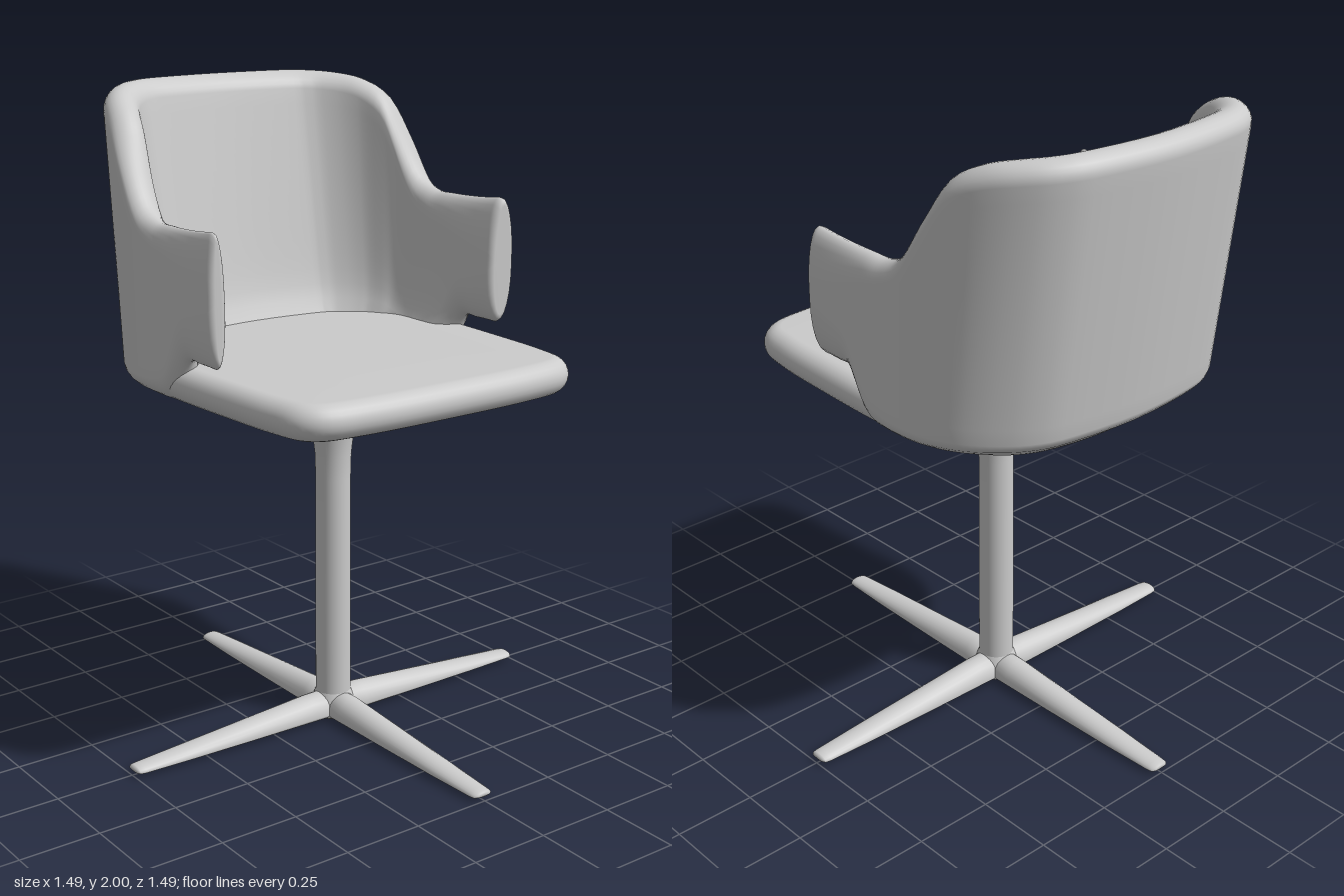
import * as THREE from 'three';

const material = new THREE.MeshStandardMaterial({ color: 0xcccccc, roughness: 0.7 });

function part(name, geometry) {
  const mesh = new THREE.Mesh(geometry, material);
  mesh.name = name;
  return mesh;
}

// Skin a list of closed rings (equal point counts) and cap both ends.
function loft(rings) {
  const n = rings[0].length, all = rings.flat(), index = [];
  for (let i = 0; i < rings.length - 1; i++) {
    for (let j = 0; j < n; j++) {
      const a = i * n + j, b = i * n + (j + 1) % n;
      index.push(a, b, a + n, b, b + n, a + n);
    }
  }
  [0, rings.length - 1].forEach((r, end) => {
    const centre = new THREE.Vector3();
    rings[r].forEach(p => centre.addScaledVector(p, 1 / n));
    const c = all.push(centre) - 1;
    for (let j = 0; j < n; j++) {
      const a = r * n + j, b = r * n + (j + 1) % n;
      if (end) index.push(a, b, c); else index.push(b, a, c);
    }
  });
  // Signed volume tells whether the faces point outward.
  let volume = 0;
  const cross = new THREE.Vector3();
  for (let i = 0; i < index.length; i += 3) {
    volume += cross.crossVectors(all[index[i]], all[index[i + 1]]).dot(all[index[i + 2]]);
  }
  if (volume < 0) index.reverse();
  const geometry = new THREE.BufferGeometry().setFromPoints(all);
  geometry.setIndex(index);
  geometry.computeVertexNormals();
  return geometry;
}

// Seat pad: an outline swept through a half-round edge.
function seatGeometry() {
  const half = [[0.3, 0.588], [0.44, 0.565], [0.5, 0.51], [0.525, 0.4], [0.54, 0.2], [0.55, -0.1],
    [0.535, -0.31], [0.45, -0.45], [0.35, -0.53], [0.2, -0.57]];
  const loop = [[0, 0.595], ...half, [0, -0.58], ...half.map(([x, z]) => [-x, z]).reverse()];
  const curve = new THREE.CatmullRomCurve3(loop.map(([x, z]) => new THREE.Vector3(x, 0, z)), true);
  const N = 96, ring = (inset, y, scale = 1) => Array.from({ length: N }, (_, i) => {
    const p = curve.getPoint(i / N), t = curve.getTangent(i / N);
    return new THREE.Vector3((p.x - t.z * -inset * -1) * scale, y, (p.z + t.x * inset * 1) * scale);
  });
  // The outline runs front to back on +x, so (t.z, -t.x) is inward or outward by sign.
  const probe = ring(0.05, 0)[0].z < 0.595 ? 1 : -1;
  const rings = [ring(0, 1.115, 0.3), ring(0, 1.115, 0.7)];
  for (let i = 0; i <= 12; i++) {
    const a = -Math.PI / 2 + Math.PI * i / 12;
    rings.push(ring(probe * 0.055 * (1 - Math.cos(a)), 1.169 + 0.054 * Math.sin(a)));
  }
  rings.push(ring(0, 1.225, 0.7), ring(0, 1.226, 0.3));
  return loft(rings);
}

// Wraparound back and arms: an upright rounded section carried along a U path.
function shellGeometry() {
  // outer x, outer z, bottom y | top y, thickness, length of the rounded ends
  const side = [
    [0.565, 0.19, 1.26, 1.655, 0.06, 0.17],
    [0.565, 0.10, 1.26, 1.645, 0.065, 0.14],
    [0.565, 0.02, 1.25, 1.64, 0.07, 0.11],
    [0.565, -0.06, 1.13, 1.638, 0.08, 0.08],
    [0.565, -0.14, 1.115, 1.64, 0.09, 0.06],
    [0.563, -0.21, 1.115, 1.68, 0.10, 0.055],
    [0.555, -0.28, 1.115, 1.81, 0.11, 0.055],
    [0.535, -0.34, 1.115, 1.925, 0.12, 0.055],
    [0.50, -0.41, 1.115, 1.972, 0.13, 0.055],
    [0.44, -0.48, 1.115, 1.99, 0.138, 0.055],
    [0.36, -0.54, 1.115, 1.997, 0.143, 0.055],
    [0.25, -0.577, 1.115, 2, 0.145, 0.055]];
  const rows = [
    ...side.map(r => r.map((v, i) => i === 4 ? Math.max(v, 0.1) : v)),
    [0, -0.6, 1.115, 2, 0.145, 0.055],
    ...side.map(r => [-r[0], ...r.slice(1)]).reverse()];
  const spline = k => new THREE.CatmullRomCurve3(
    rows.map(r => new THREE.Vector3(r[k], r[k + 1], r[k + 2])), false, 'catmullrom', 0.5);
  const path = spline(0), size = spline(3), rings = [], N = 130;
  for (let i = 0; i <= N; i++) {
    const u = 0.5 - 0.5 * Math.cos(Math.PI * i / N);
    const p = path.getPoint(u), s = size.getPoint(u), t = path.getTangent(u);
    const len = Math.hypot(t.x, t.y), nx = t.y / len, nz = -t.x / len;
    // Round over the front ends of the arms.
    const r = 0.026, k = Math.max(0, r - Math.max(0, 0.19 - p.y));
    const inset = r - Math.sqrt(r * r - k * k);
    const y0 = Math.max(1.115, p.z) + inset, y1 = Math.min(2, s.x) - inset;
    const e = Math.min(s.z, (y1 - y0) * 0.48), h = s.y / 2 - inset * 0.8;
    const lean = 0.105 * THREE.MathUtils.smoothstep(-p.y, 0.1, 0.55);
    const joined = THREE.MathUtils.clamp((1.26 - p.z) / 0.145, 0, 1);
    const section = [];
    for (let j = 0; j < 16; j++) section.push([-h, THREE.MathUtils.lerp(y0 + e, y1 - e, j / 16)]);
    for (let j = 0; j < 12; j++) {
      const a = Math.PI * j / 12;
      section.push([-h * Math.cos(a), y1 - e + e * Math.sin(a)]);
    }
    for (let j = 0; j < 16; j++) section.push([h, THREE.MathUtils.lerp(y1 - e, y0 + e, j / 16)]);
    for (let j = 0; j < 12; j++) {
      const a = Math.PI * j / 12;
      section.push([h * Math.cos(a), y0 + e - e * Math.sin(a)]);
    }
    rings.push(section.map(([d, y]) => {
      // Thicker toward the seat, with a soft fillet where the inside meets it.
      const taper = 1.15 - 0.35 * (y - 1.2) / 0.8;
      const fillet = 0.035 * joined * Math.exp(-Math.max(0, y - 1.2) / 0.05);
      const depth = s.y / 2 + d;
      const offset = depth * taper + fillet * depth / s.y;
      return new THREE.Vector3(p.x + nx * offset, y, p.y + nz * offset - lean * (y - 1.17) / 0.8);
    }));
  }
  return loft(rings);
}

// One tapering foot along +x with a domed top and flat underside.
function legGeometry() {
  const stations = [[0, 0.055, 0, 0.086], [0.1, 0.054, 0.001, 0.083], [0.3, 0.05, 0.003, 0.066],
    [0.55, 0.044, 0.006, 0.045], [0.72, 0.036, 0.008, 0.031], [0.738, 0.033, 0.009, 0.029],
    [0.745, 0.024, 0.012, 0.025]];
  return loft(stations.map(([x, w, y0, y1]) => Array.from({ length: 24 }, (_, i) => {
    const a = Math.PI * 2 * i / 24, s = Math.sin(a), mid = y0 + (y1 - y0) * 0.25;
    return new THREE.Vector3(x, mid + s * (s > 0 ? y1 - mid : mid - y0), w * Math.cos(a));
  })));
}

function lathe(points) {
  return new THREE.LatheGeometry(points.map(([r, y]) => new THREE.Vector2(r, y)), 48);
}

export function createModel() {
  const model = new THREE.Group();
  model.name = 'swivelArmchair';
  model.add(part('seat', seatGeometry()), part('backAndArms', shellGeometry()));

  // Column flaring to meet the seat
  model.add(part('column', lathe([[0.056, 0.03], [0.056, 0.4], [0.055, 0.8], [0.057, 0.88],
    [0.064, 0.94], [0.073, 1.0], [0.082, 1.06], [0.088, 1.12]])));

  // Four-foot base with a small blending hub
  const base = new THREE.Group();
  base.name = 'base';
  base.add(part('hub', lathe([[0, 0], [0.06, 0.001], [0.078, 0.012], [0.074, 0.035], [0.062, 0.07], [0.055, 0.088]])));
  const leg = legGeometry();
  for (let i = 0; i < 4; i++) {
    const foot = part('foot', leg);
    foot.rotation.y = i * Math.PI / 2;
    base.add(foot);
  }
  model.add(base);
  return model;
}
